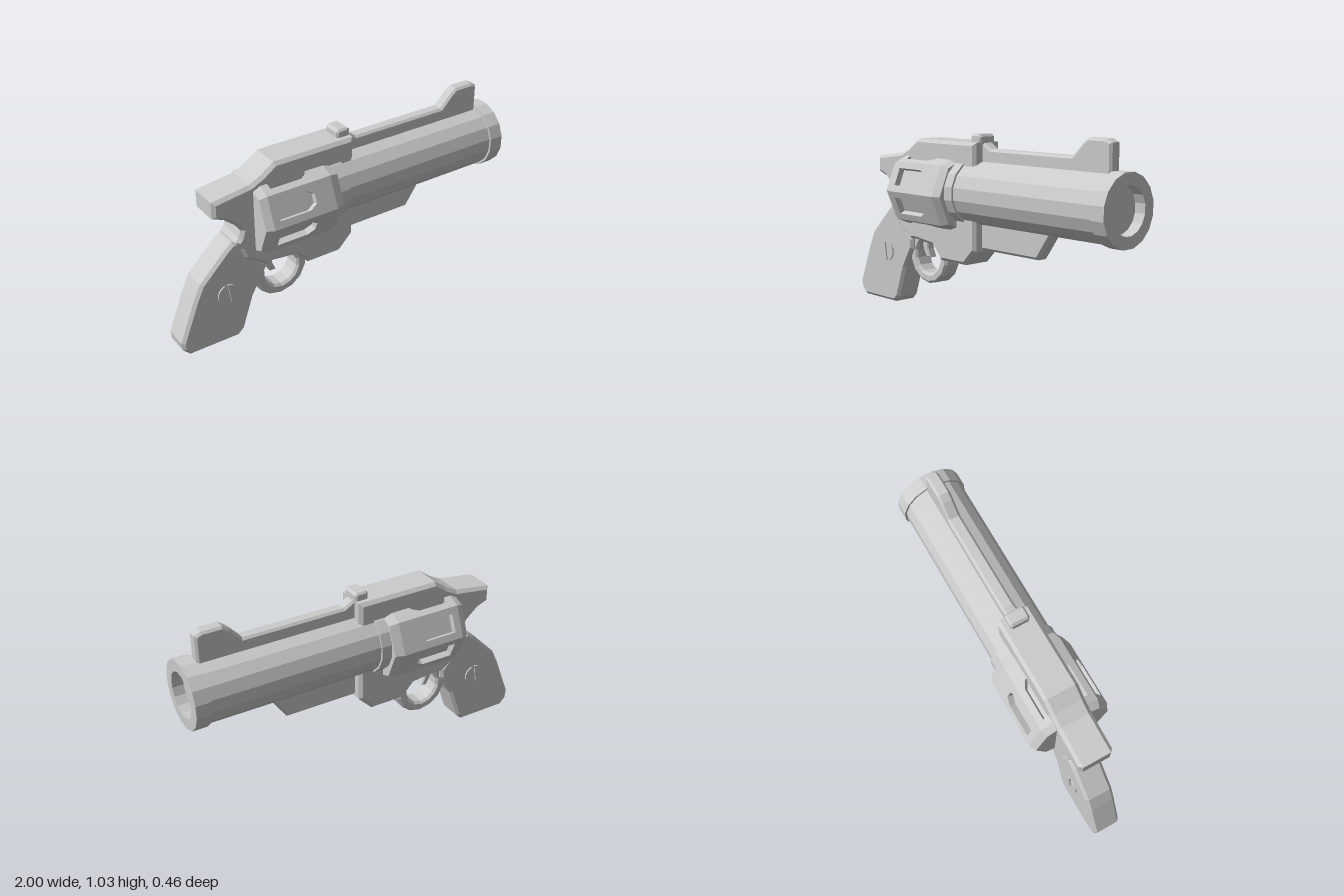
import * as THREE from 'three';

const steel = new THREE.MeshStandardMaterial({ color: 0xcccccc });
steel.name = 'plainGrey';

const BARREL_Y = 0.705;
const DRUM_Y = 0.685;

function addMesh(parent, name, geometry) {
  const mesh = new THREE.Mesh(geometry, steel);
  mesh.name = name;
  parent.add(mesh);
  return mesh;
}

// faceted normals for low-poly parts
function faceted(geometry) {
  const g = geometry.index ? geometry.toNonIndexed() : geometry;
  g.computeVertexNormals();
  return g;
}

const toShape = (pts) => new THREE.Shape(pts.map(([x, y]) => new THREE.Vector2(x, y)));

// side profile extruded evenly about z = 0 with chamfered edges
function slab(shape, half, bevel) {
  const g = new THREE.ExtrudeGeometry(shape, {
    depth: 2 * (half - bevel), bevelEnabled: bevel > 0, bevelThickness: bevel,
    bevelSize: bevel, bevelOffset: -bevel, bevelSegments: 1, curveSegments: 8,
  });
  g.translate(0, 0, -(half - bevel));
  return faceted(g);
}

function ringPoints(cx, cy, r, n) {
  return Array.from({ length: n }, (_, i) => {
    const a = ((i + 0.5) / n) * Math.PI * 2;
    return [cx + r * Math.cos(a), cy + r * Math.sin(a)];
  });
}

// frustum lying along x, from x0 (radius r0) to x1 (radius r1)
function axialFrustum(r0, r1, x0, x1, sides) {
  const g = new THREE.CylinderGeometry(r1, r0, x1 - x0, sides);
  g.rotateZ(-Math.PI / 2);
  g.translate((x0 + x1) / 2, 0, 0);
  return faceted(g);
}

function makeBarrel() {
  const profile = [
    [0, -0.1], [0.184, -0.1], [0.184, -0.04], [0.173, -0.04], [0.173, 0.92],
    [0.185, 0.92], [0.185, 1], [0.122, 1], [0.122, 0.94], [0, 0.94],
  ].map(([r, x]) => new THREE.Vector2(r, x));
  const g = new THREE.LatheGeometry(profile, 16, Math.PI / 16);
  g.rotateZ(-Math.PI / 2);
  g.translate(0, BARREL_Y, 0);
  return faceted(g);
}

// eight-sided drum with a recessed flute in each face
function makeDrum() {
  const drum = new THREE.Group();
  drum.name = 'drum';
  drum.position.y = DRUM_Y;
  const R = 0.23, x0 = -0.52, x1 = -0.15, depth = 0.035;
  const apothem = R * Math.cos(Math.PI / 8);
  const hw = R * Math.sin(Math.PI / 8);
  addMesh(drum, 'drumCore', axialFrustum(0.192, 0.192, x0, x1, 8));
  addMesh(drum, 'drumRearChamfer', axialFrustum(0.21, R, -0.56, x0, 8));
  addMesh(drum, 'drumFrontChamfer', axialFrustum(R, 0.213, x1, -0.1, 8));
  const face = toShape([[x0, -hw], [x1, -hw], [x1, hw], [x0, hw]]);
  face.holes.push(toShape([
    [-0.48, -0.05], [-0.48, 0.05], [-0.3, 0.05], [-0.26, 0.025], [-0.26, -0.025], [-0.3, -0.05],
  ]));
  const panel = new THREE.ExtrudeGeometry(face, { depth, bevelEnabled: false });
  panel.translate(0, 0, apothem - depth);
  for (let i = 0; i < 8; i++) {
    addMesh(drum, 'flutedFace', panel).rotation.x = (i + 0.5) * Math.PI / 4;
  }
  return drum;
}

// slotted screw head: base disc and two raised half-discs
function makeScrew(side) {
  const screw = new THREE.Group();
  screw.name = side > 0 ? 'frontGripScrew' : 'backGripScrew';
  const r = 0.056, gap = 0.17;
  const disc = new THREE.CylinderGeometry(r, r, 0.02, 16);
  disc.rotateX(Math.PI / 2);
  addMesh(screw, 'screwBase', faceted(disc)).position.z = 0.07;
  const half = new THREE.Shape();
  half.absarc(0, 0, r, -Math.PI / 2 + gap, Math.PI / 2 - gap, false);
  const g = new THREE.ExtrudeGeometry(half, { depth: 0.008, bevelEnabled: false, curveSegments: 8 });
  for (const turn of [0, Math.PI]) {
    const m = addMesh(screw, 'screwHalf', g);
    m.position.z = 0.079;
    m.rotation.z = turn + 0.15;
  }
  screw.position.set(-0.727, 0.302, 0);
  screw.rotation.y = side > 0 ? 0 : Math.PI;
  return screw;
}

export function createModel() {
  const model = new THREE.Group();
  model.name = 'toyRevolver';

  // main frame with top strap, hammer spur and lower housing
  addMesh(model, 'frame', slab(toShape([
    [-0.785, 0.86], [-0.785, 0.767], [-0.725, 0.745], [-0.66, 0.69], [-0.632, 0.65],
    [-0.645, 0.61], [-0.665, 0.585], [-0.64, 0.54], [-0.62, 0.48], [-0.5, 0.4],
    [-0.46, 0.405], [-0.31, 0.388], [-0.24, 0.312], [-0.04, 0.312], [0.042, 0.395],
    [0.042, 0.975], [-0.43, 0.975], [-0.5, 0.925], [-0.57, 0.89],
  ]), 0.095, 0.018));

  // grip
  addMesh(model, 'grip', slab(toShape([
    [-0.68, 0.587], [-0.72, 0.555], [-0.87, 0.405], [-0.91, 0.32], [-1, 0.09],
    [-0.995, 0.045], [-0.955, 0.005], [-0.67, 0.005], [-0.638, 0.035], [-0.575, 0.22],
    [-0.505, 0.34], [-0.5, 0.4], [-0.56, 0.46], [-0.6, 0.52], [-0.65, 0.585],
  ]), 0.078, 0.016));
  model.add(makeScrew(1), makeScrew(-1));

  // barrel and drum
  addMesh(model, 'barrel', makeBarrel());
  model.add(makeDrum());

  // top rib rising into the front sight
  addMesh(model, 'ribAndFrontSight', slab(toShape([
    [0, 0.84], [0.915, 0.84], [0.915, 1.02], [0.88, 1.036], [0.77, 1.036],
    [0.735, 1.01], [0.67, 0.942], [0.1, 0.942], [0.05, 0.972], [0, 0.972],
  ]), 0.036, 0.012));

  // rear sight block
  addMesh(model, 'rearSight', slab(toShape([
    [-0.033, 0.96], [0.045, 0.96], [0.045, 1.005], [0.033, 1.018], [-0.021, 1.018], [-0.033, 1.005],
  ]), 0.054, 0.01));

  // lug under the barrel
  addMesh(model, 'underLug', slab(toShape([
    [0, 0.4], [0.45, 0.4], [0.56, 0.56], [0.56, 0.6], [0, 0.6],
  ]), 0.04, 0.014));

  // trigger guard and trigger
  const guard = toShape(ringPoints(-0.39, 0.312, 0.158, 14));
  guard.holes.push(toShape(ringPoints(-0.39, 0.312, 0.1, 14)));
  addMesh(model, 'triggerGuard', slab(guard, 0.055, 0.013));
  addMesh(model, 'trigger', slab(toShape([
    [-0.48, 0.43], [-0.48, 0.39], [-0.462, 0.335], [-0.44, 0.297], [-0.405, 0.297],
    [-0.425, 0.345], [-0.43, 0.43],
  ]), 0.025, 0.006));

  return model;
}
